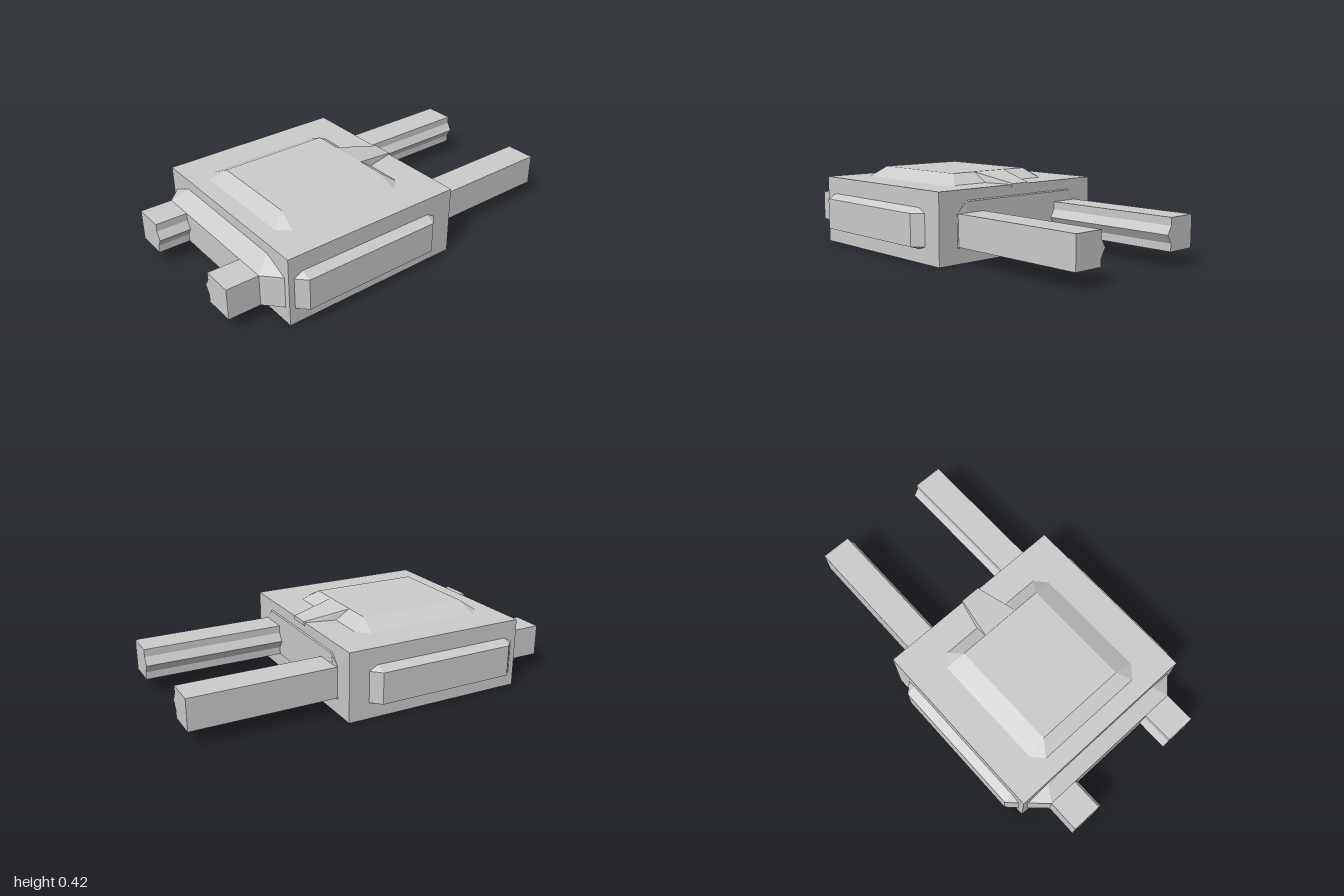
import * as THREE from 'three';

const material = new THREE.MeshStandardMaterial({ color: 0xcccccc, flatShading: true });

// Bevelled panel: eight-sided base rising by h to a four-cornered face.
// Both outlines list their right half from bottom to top and are mirrored.
function panelGeometry(baseHalf, faceHalf, h) {
  const ring = (half, z) =>
    [...half, ...half.slice().reverse().map(([u, v]) => [-u, v])].map(([u, v]) => [u, v, z]);
  const base = ring(baseHalf, 0);
  const face = ring(faceHalf, h);
  const pos = [];
  const tri = (a, b, c) => pos.push(...a, ...b, ...c);
  for (let i = 0; i < 4; i++) {
    const j = (i + 1) % 4;
    const a = base[2 * i], b = base[2 * i + 1], c = base[2 * j];
    tri(a, b, face[i]); // corner bevel
    tri(b, c, face[j]); // edge bevel
    tri(b, face[j], face[i]);
  }
  tri(face[0], face[1], face[2]);
  tri(face[0], face[2], face[3]);
  const geo = new THREE.BufferGeometry();
  geo.setAttribute('position', new THREE.Float32BufferAttribute(pos, 3));
  geo.computeVertexNormals();
  return geo;
}

export function createModel() {
  const group = new THREE.Group();
  const add = (name, geo, x = 0, y = 0, z = 0) => {
    const mesh = new THREE.Mesh(geo, material);
    mesh.name = name;
    mesh.position.set(x, y, z);
    group.add(mesh);
    return mesh;
  };

  // Main block
  add('body', new THREE.BoxGeometry(1.066, 0.365, 0.99), 0, 0.1825, 0.255);

  // Front bevelled panel
  add('frontPanel', panelGeometry(
    [[0.335, 0], [0.5, 0.085], [0.5, 0.25], [0.365, 0.31]],
    [[0.415, 0.085], [0.415, 0.25]], 0.08), 0, 0, 0.75);

  // Thin back panel
  add('backPanel', panelGeometry(
    [[0.42, 0.08], [0.42, 0.085], [0.42, 0.25], [0.36, 0.31]],
    [[0.415, 0.085], [0.36, 0.305]], 0.006), 0, 0, -0.24).rotation.y = Math.PI;

  // Raised roof panel
  add('topPanel', panelGeometry(
    [[0.3, -0.37], [0.355, -0.31], [0.355, 0.31], [0.3, 0.37]],
    [[0.25, -0.295], [0.25, 0.295]], 0.052), 0, 0.365, 0.29).rotation.x = -Math.PI / 2;

  // Tapered ramp from the roof panel down to the back edge
  const ramp = new THREE.BoxGeometry(1, 1, 1);
  const p = ramp.attributes.position;
  for (let i = 0; i < p.count; i++) {
    const top = p.getY(i) > 0, front = p.getZ(i) > 0;
    const half = front ? (top ? 0.105 : 0.12) : (top ? 0.055 : 0.062);
    p.setXYZ(i, Math.sign(p.getX(i)) * half,
      top ? (front ? 0.417 : 0.37) : 0.35, front ? 0 : -0.245);
  }
  ramp.computeVertexNormals();
  add('rearRamp', ramp);

  // Long bars with a pointed ridge along the inner side
  const profile = new THREE.Shape([
    [0.415, 0.085], [0.415, 0.25], [0.252, 0.25], [0.252, 0.21],
    [0.226, 0.168], [0.252, 0.125], [0.252, 0.085],
  ].map(([x, y]) => new THREE.Vector2(x, y)));
  const bar = new THREE.ExtrudeGeometry(profile, { depth: 2, bevelEnabled: false });
  add('leftBar', bar, 0, 0, -1);
  const mirrored = new THREE.Shape(profile.getPoints().map(q => new THREE.Vector2(-q.x, q.y)));
  add('rightBar', new THREE.ExtrudeGeometry(mirrored, { depth: 2, bevelEnabled: false }), 0, 0, -1);

  // Side bevelled panels
  const side = panelGeometry(
    [[0.38, 0.07], [0.425, 0.085], [0.425, 0.25], [0.38, 0.275]],
    [[0.375, 0.085], [0.375, 0.25]], 0.05);
  for (const s of [1, -1]) {
    add(s > 0 ? 'leftPanel' : 'rightPanel', side, s * 0.533, 0, 0.295).rotation.y = s * Math.PI / 2;
  }
  return group;
}
